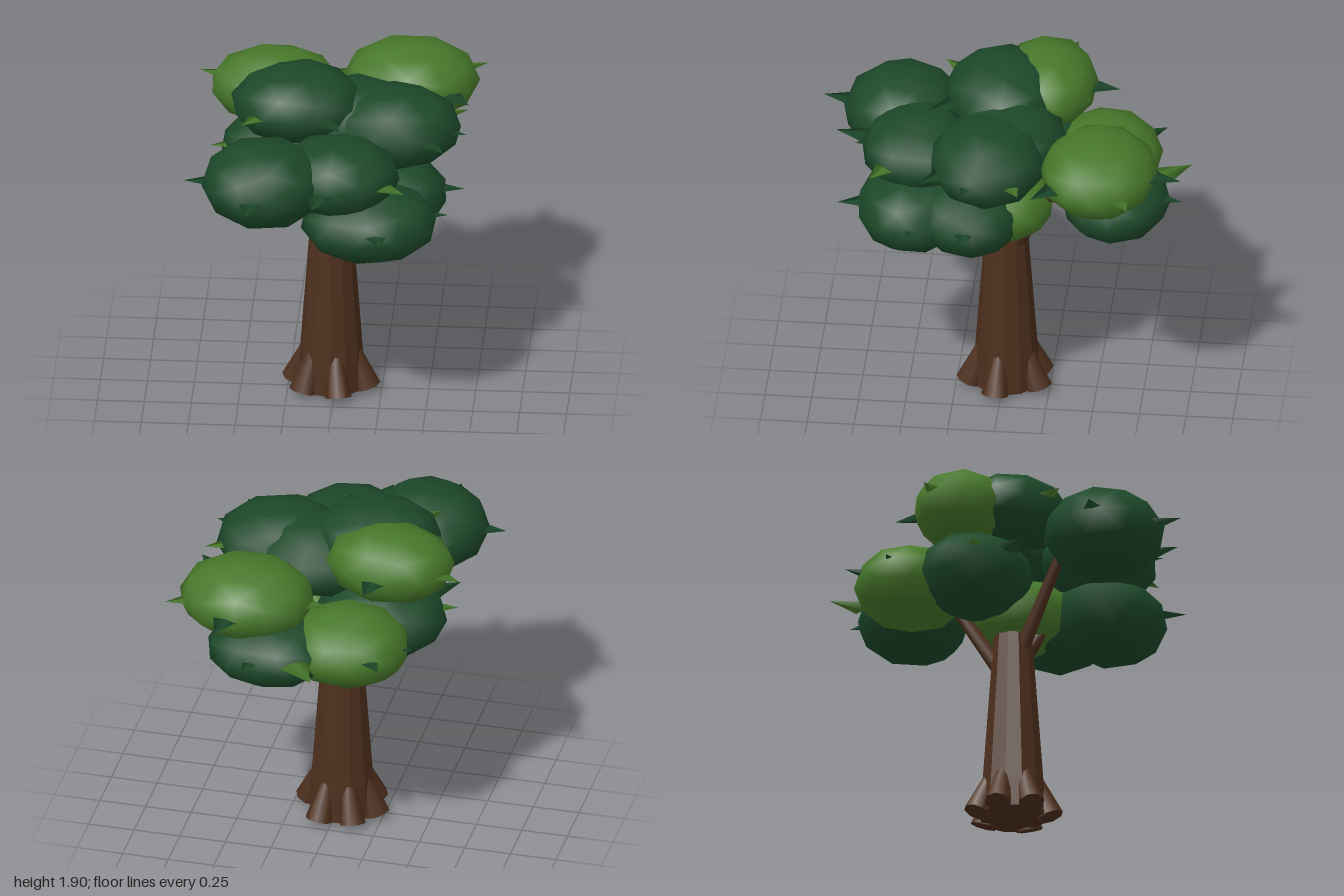
import * as THREE from 'three';

const darkLeaf = new THREE.MeshStandardMaterial({ color: 0x1c4829 });
darkLeaf.name = 'dark leaf green';
const lightLeaf = new THREE.MeshStandardMaterial({ color: 0x47782a });
lightLeaf.name = 'light leaf green';
const bark = new THREE.MeshStandardMaterial({ color: 0x4d2f1d });
bark.name = 'bark brown';

const UP = new THREE.Vector3(0, 1, 0);
const AXIS = new THREE.Vector3(-0.02, 0, -0.015); // trunk centre line

// Leaf clumps: centre, radii, material
const CLUMPS = {
  backRightTop: [[0.37, 1.59, -0.545], [0.36, 0.205, 0.31], lightLeaf],
  leftTop: [[-0.33, 1.7, -0.2], [0.345, 0.2, 0.27], lightLeaf],
  crown: [[-0.2, 1.71, 0.02], [0.35, 0.2, 0.31], darkLeaf],
  rightTop: [[0.32, 1.6, 0.05], [0.355, 0.21, 0.31], darkLeaf],
  middle: [[0.11, 1.6, -0.04], [0.35, 0.2, 0.31], darkLeaf],
  backLeftLow: [[-0.18, 1.36, -0.53], [0.33, 0.21, 0.3], lightLeaf],
  backLow: [[0.22, 1.34, -0.62], [0.34, 0.19, 0.29], darkLeaf],
  leftLow: [[-0.27, 1.35, -0.16], [0.35, 0.21, 0.3], darkLeaf],
  centreLow: [[0.14, 1.25, 0.01], [0.33, 0.2, 0.3], lightLeaf],
  rightLow: [[0.28, 1.25, 0.15], [0.33, 0.21, 0.29], darkLeaf],
  frontRightLow: [[0.21, 1.23, 0.46], [0.36, 0.21, 0.3], darkLeaf],
  frontLeft: [[-0.34, 1.49, 0.56], [0.33, 0.23, 0.32], darkLeaf],
  frontMiddle: [[0.04, 1.49, 0.44], [0.33, 0.2, 0.31], darkLeaf],
};

// Leaf tips: clump, tip x, tip z, material
const TIPS = [
  ['backLow', -0.09, -1, lightLeaf], ['backLow', 0.29, -0.98, darkLeaf],
  ['backRightTop', 0.44, -0.99, darkLeaf], ['backRightTop', 0.77, -0.73, lightLeaf],
  ['backRightTop', 0.7, -0.21, darkLeaf], ['backRightTop', -0.09, -0.58, lightLeaf],
  ['backLeftLow', -0.42, -0.84, darkLeaf], ['backLeftLow', -0.55, -0.58, darkLeaf],
  ['leftTop', -0.74, -0.33, lightLeaf], ['leftTop', -0.28, -0.6, darkLeaf],
  ['leftTop', -0.15, -0.45, lightLeaf], ['rightTop', 0.7, -0.14, lightLeaf],
  ['rightTop', 0.71, 0.16, darkLeaf], ['rightTop', 0.6, 0.39, darkLeaf],
  ['rightLow', 0.7, 0.16, darkLeaf], ['frontRightLow', 0.63, 0.44, darkLeaf],
  ['frontRightLow', 0.29, 0.86, darkLeaf], ['frontMiddle', 0.41, 0.68, lightLeaf],
  ['frontMiddle', -0.07, 0.9, darkLeaf], ['frontMiddle', 0.05, 0.79, darkLeaf],
  ['frontLeft', -0.42, 1, darkLeaf], ['frontLeft', -0.77, 0.58, darkLeaf],
  ['crown', -0.48, 0.35, lightLeaf], ['crown', 0.05, 0.4, darkLeaf],
  ['leftLow', -0.62, 0.19, darkLeaf], ['leftLow', -0.67, -0.07, lightLeaf],
];

function add(parent, geometry, material, name) {
  const mesh = new THREE.Mesh(geometry, material);
  mesh.name = name;
  parent.add(mesh);
  return mesh;
}

function addGroup(parent, name) {
  const group = new THREE.Group();
  group.name = name;
  parent.add(group);
  return group;
}

// Point at an angle in degrees, radius and height around the trunk
function around(angle, r, y) {
  const t = THREE.MathUtils.degToRad(angle);
  return new THREE.Vector3(Math.cos(t) * r, y, Math.sin(t) * r).add(AXIS);
}

// Tapered limb between two points
function limb(parent, a, b, ra, rb, name) {
  const d = b.clone().sub(a);
  const m = add(parent, new THREE.CylinderGeometry(rb, ra, d.length(), 8), bark, name);
  m.position.copy(a).addScaledVector(d, 0.5);
  m.quaternion.setFromUnitVectors(UP, d.normalize());
}

export function createModel() {
  const tree = new THREE.Group();
  tree.name = 'tree';

  // Faceted trunk
  const profile = [[0, 0.03], [0.178, 0.03], [0.17, 0.2], [0.112, 1.0], [0.105, 1.08], [0, 1.09]];
  const trunkShape = new THREE.LatheGeometry(profile.map(p => new THREE.Vector2(...p)), 12).toNonIndexed();
  trunkShape.computeVertexNormals();
  add(tree, trunkShape, bark, 'trunk').position.copy(AXIS);

  // Splayed roots
  const roots = addGroup(tree, 'roots');
  for (const angle of [13, 76, 137, 190, 240, 295]) {
    limb(roots, around(angle, 0.2, 0.04), around(angle, 0.12, 0.26), 0.072, 0.035, 'root');
  }

  // Steep branches: angle, start height, rise
  const branches = addGroup(tree, 'branches');
  for (const [angle, y, rise] of [[42, 0.99, 0.44], [72, 1.01, 0.44], [122, 1.01, 0.5], [256, 0.91, 0.5], [311, 0.92, 0.64]]) {
    limb(branches, around(angle, 0.075, y), around(angle, 0.075 + rise * 0.65, y + rise), 0.042, 0.026, 'branch');
  }

  // Leaf clumps
  const leaves = addGroup(tree, 'foliage');
  Object.entries(CLUMPS).forEach(([key, [c, r, mat]], i) => {
    const g = new THREE.IcosahedronGeometry(1.02, 1);
    g.rotateZ(i * 0.7).rotateY(i * 1.3).scale(...r);
    add(leaves, g, mat, key + 'Clump').position.set(...c);
  });

  // Flat pointed leaf tips around the clumps
  for (const [key, x, z, mat] of TIPS) {
    const [cx, cy, cz] = CLUMPS[key][0];
    const g = new THREE.ConeGeometry(0.088, 0.2, 4);
    g.rotateX(Math.PI / 2).translate(0, 0, -0.1).scale(1, 0.16, 1);
    const tip = add(leaves, g, mat, 'leafTip');
    tip.position.set(x, cy + (cy < 1.4 ? 0.04 : 0.01), z);
    tip.rotation.y = Math.atan2(x - cx, z - cz);
  }
  return tree;
}
